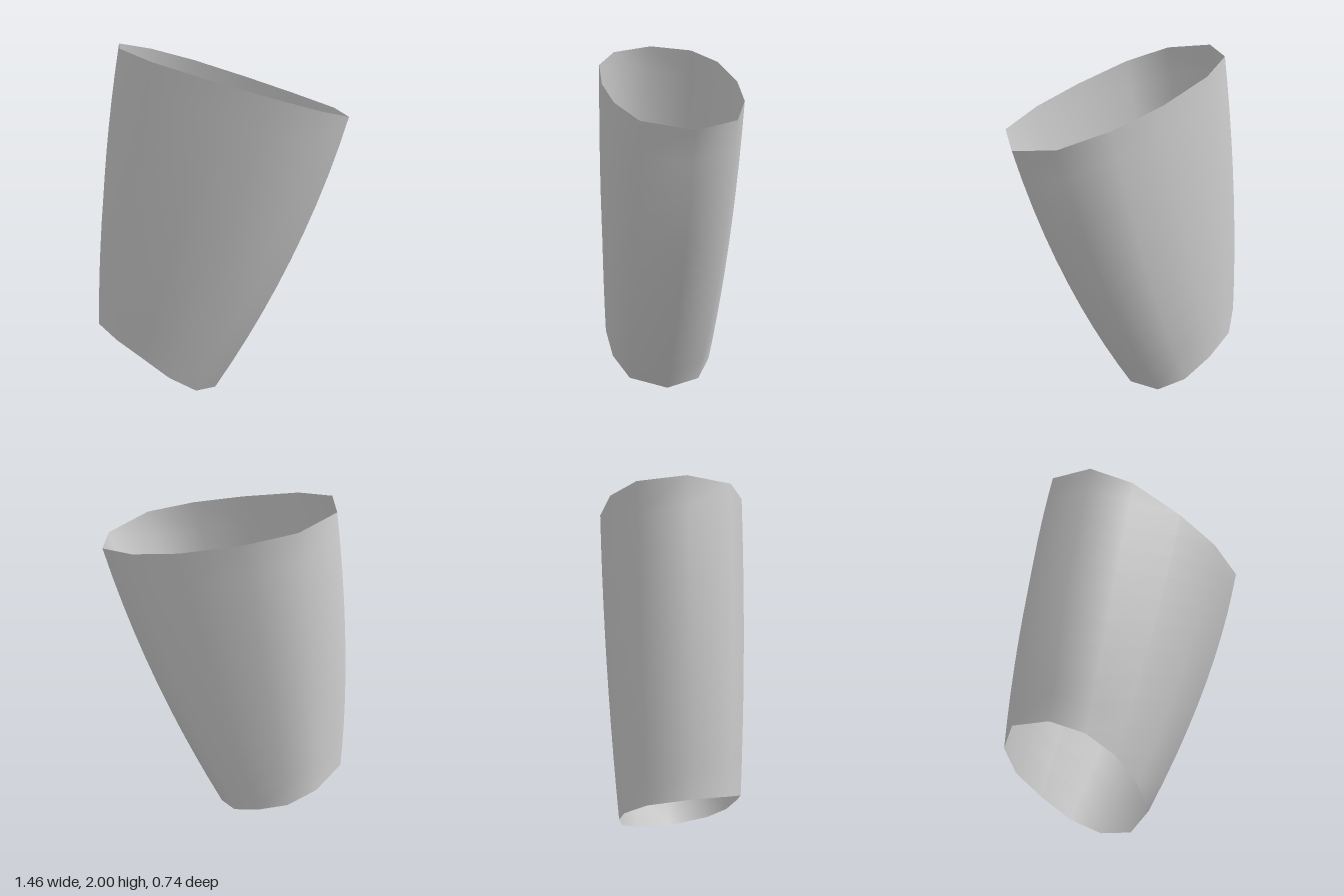
import * as THREE from 'three';

// Rims of the sleeve, as [x, y, z], running from +x through +z
const bottomRim = [
  [-0.01, 0, 0], [-0.06, 0.06, 0.22], [-0.19, 0.155, 0.305], [-0.34, 0.265, 0.33],
  [-0.5, 0.35, 0.31], [-0.65, 0.405, 0.22], [-0.73, 0.43, 0], [-0.66, 0.385, -0.21],
  [-0.53, 0.3, -0.31], [-0.36, 0.2, -0.325], [-0.19, 0.095, -0.295], [-0.06, 0.025, -0.2],
];
const topRim = [
  [0.73, 1.61, 0], [0.62, 1.65, 0.25], [0.37, 1.72, 0.34], [0.08, 1.8, 0.37],
  [-0.25, 1.895, 0.35], [-0.47, 1.965, 0.24], [-0.575, 2, 0], [-0.47, 1.975, -0.23],
  [-0.24, 1.91, -0.34], [0.08, 1.81, -0.372], [0.37, 1.72, -0.335], [0.62, 1.645, -0.23],
];

// Loft between the rims, swelling outwards towards the middle
function sleeveGeometry(rows) {
  const n = bottomRim.length;
  const positions = [];
  const index = [];
  for (let j = 0; j <= rows; j++) {
    const t = j / rows;
    const swell = 4 * t * (1 - t);
    for (let i = 0; i < n; i++) {
      const angle = (i / n) * Math.PI * 2;
      const p = new THREE.Vector3(...bottomRim[i]).lerp(new THREE.Vector3(...topRim[i]), t);
      p.x += swell * (0.017 + 0.053 * Math.cos(angle));
      p.z += swell * 0.014 * Math.sin(angle);
      positions.push(p.x, p.y, p.z);
      if (j < rows) {
        const a = j * n + i;
        const b = j * n + ((i + 1) % n);
        index.push(a, a + n, b, b, a + n, b + n);
      }
    }
  }
  const geometry = new THREE.BufferGeometry();
  geometry.setAttribute('position', new THREE.Float32BufferAttribute(positions, 3));
  geometry.setIndex(index);
  geometry.computeVertexNormals();
  return geometry;
}

export function createModel() {
  const model = new THREE.Group();
  model.name = 'openSleeve';
  // Thin wall, open at both ends
  const wall = new THREE.Mesh(
    sleeveGeometry(10),
    new THREE.MeshStandardMaterial({ color: 0xcccccc, side: THREE.DoubleSide })
  );
  wall.name = 'sleeveWall';
  model.add(wall);
  return model;
}
